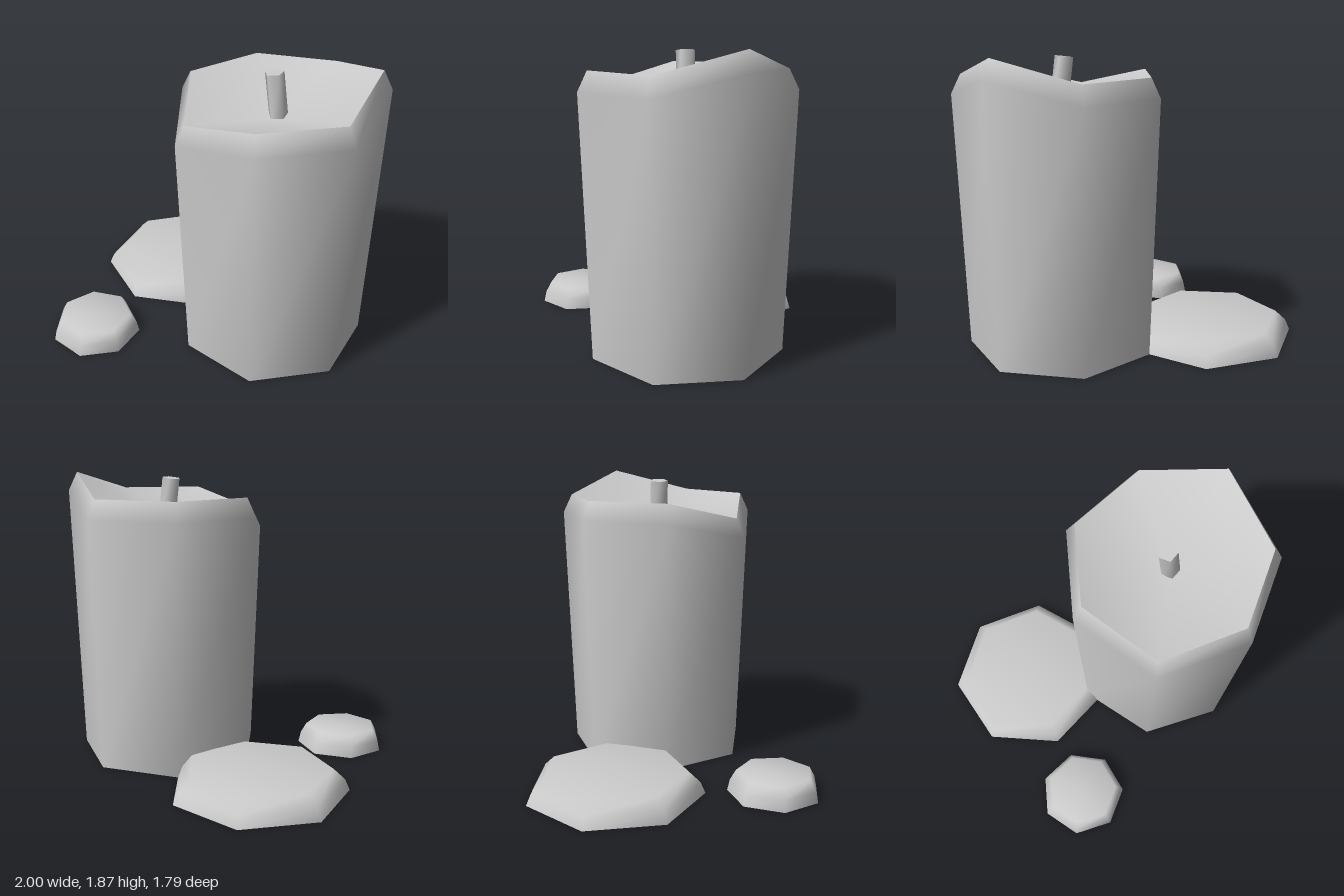
import * as THREE from 'three';

const material = new THREE.MeshStandardMaterial({ color: 0xcccccc });

// Smooth shell through polygon rings [radius, height or heights per corner],
// optionally closed by a fan to a centre point at height tip.
function shell(name, sides, phase, rings, tip = null, dir = 1) {
  const pos = [], index = [];
  for (const [r, y] of rings) {
    for (let i = 0; i < sides; i++) {
      const a = phase + dir * i * Math.PI * 2 / sides;
      pos.push(r * Math.cos(a), Array.isArray(y) ? y[i] : y, r * Math.sin(a));
    }
  }
  for (let k = 0; k < rings.length - 1; k++) {
    for (let i = 0; i < sides; i++) {
      const a = k * sides + i, b = k * sides + (i + 1) % sides;
      index.push(a, a + sides, b, b, a + sides, b + sides);
    }
  }
  if (tip !== null) {
    const c = pos.length / 3, last = (rings.length - 1) * sides;
    pos.push(0, tip, 0);
    for (let i = 0; i < sides; i++) index.push(last + i, c, last + (i + 1) % sides);
  }
  const geo = new THREE.BufferGeometry();
  geo.setAttribute('position', new THREE.Float32BufferAttribute(pos, 3));
  geo.setIndex(index);
  geo.computeVertexNormals();
  const mesh = new THREE.Mesh(geo, material);
  mesh.name = name;
  return mesh;
}

function group(name, x, y, z, ...parts) {
  const g = new THREE.Group();
  g.name = name;
  g.position.set(x, y, z);
  g.add(...parts);
  return g;
}

// Low seven-sided puddle of melted wax with a rounded shoulder
function puddle(name, x, z, r, phase) {
  return group(name, x, 0, z,
    shell('puddleTop', 7, phase, [[r, 0], [r * 0.945, 0.07], [r * 0.82, 0.135]], 0.135),
    shell('puddleBase', 7, phase, [[r, 0]], 0, -1));
}

export function createModel() {
  const model = new THREE.Group();
  model.name = 'candle';

  // Uneven melted rim, starting at the -x corner and going round by the back
  const rim = [1.73, 1.73, 1.73, 1.865, 1.73, 1.73, 1.61];
  const shoulder = rim.map((y) => y - 0.12);
  model.add(group('candleBody', 0.405, 0, -0.01,
    shell('waxWall', 7, Math.PI, [[0.6, 0], [0.657, shoulder], [0.598, rim]]),
    shell('meltedBowl', 7, Math.PI, [[0.598, rim]], 1.55),
    shell('waxBase', 7, Math.PI, [[0.6, 0]], 0, -1)));

  // Five-sided wick leaning to -x
  const wick = group('wick', 0.41, 1.53, -0.01,
    shell('wickSide', 5, Math.PI, [[0.06, 0], [0.06, 0.304]]),
    shell('wickTop', 5, Math.PI, [[0.06, 0.304]], 0.304));
  wick.rotation.z = 0.13;
  model.add(wick);

  model.add(puddle('largePuddle', -0.483, -0.366, 0.558, 1.727));
  model.add(puddle('smallPuddle', -0.601, 0.607, 0.289, Math.PI));
  return model;
}
